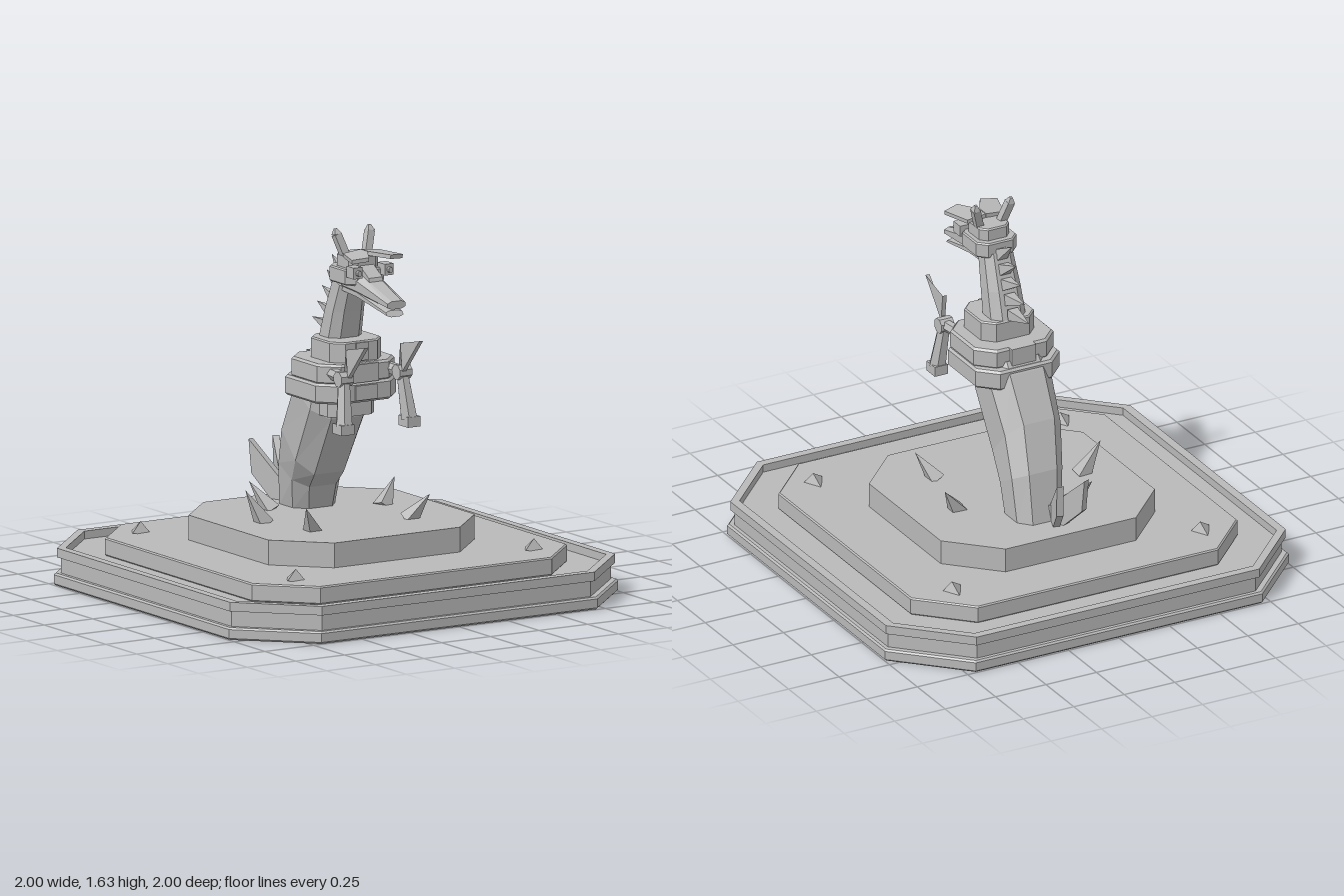
import * as THREE from 'three';

export function createModel() {
  const root = new THREE.Group();
  const stone = new THREE.MeshStandardMaterial({ color: 0xb9b9b9 });
  stone.name = 'stoneGrey';

  function add(name, geo, parent = root) {
    const g = geo.index ? geo.toNonIndexed() : geo;
    g.computeVertexNormals(); // crisp facets
    const m = new THREE.Mesh(g, stone);
    m.name = name;
    parent.add(m);
    return m;
  }
  const box = (name, w, h, d, x, y, z, parent) =>
    add(name, new THREE.BoxGeometry(w, h, d).translate(x, y, z), parent);

  // rectangle with cut corners, drawn with shape y = -z
  function outline(hx, z0, z1, cut, Type = THREE.Shape) {
    const s = new Type();
    const pts = [[hx, -z1 + cut], [hx, -z0 - cut], [hx - cut, -z0], [-hx + cut, -z0],
      [-hx, -z0 - cut], [-hx, -z1 + cut], [-hx + cut, -z1], [hx - cut, -z1]];
    s.setFromPoints(pts.map(p => new THREE.Vector2(...p)));
    return s;
  }
  // flat slab between two heights
  function slab(name, hx, z0, z1, y0, y1, cut, bevel = 0, hole = null) {
    const s = outline(hx, z0, z1, cut);
    if (hole) s.holes.push(hole);
    const g = new THREE.ExtrudeGeometry(s, {
      depth: y1 - y0 - 2 * bevel, bevelEnabled: bevel > 0, bevelThickness: bevel,
      bevelSize: bevel, bevelOffset: -bevel, bevelSegments: 1 });
    return add(name, g.rotateX(-Math.PI / 2).translate(0, y0 + bevel, 0));
  }
  // upright plate from a [z, y] outline, centred on x
  function plate(name, pts, x, thick, parent) {
    const s = new THREE.Shape(pts.map(p => new THREE.Vector2(...p)));
    const g = new THREE.ExtrudeGeometry(s, { depth: thick, bevelEnabled: false });
    return add(name, g.rotateY(-Math.PI / 2).translate(x + thick / 2, 0, 0), parent);
  }
  // eight-sided skin through rings { x, w, f: [z, y], b: [z, y] }
  function loft(name, rings) {
    const c8 = [[1, -0.5], [1, 0.5], [0.55, 1], [-0.55, 1], [-1, 0.5], [-1, -0.5], [-0.55, -1], [0.55, -1]];
    const loops = rings.map(({ x = 0, w, f, b }) => c8.map(([u, v]) => {
      const t = (1 + v) / 2;
      return [x + w * u, f[1] + (b[1] - f[1]) * t, f[0] + (b[0] - f[0]) * t];
    }));
    const p = [];
    for (let i = 0; i + 1 < loops.length; i++) {
      for (let k = 0; k < 8; k++) {
        const n = (k + 1) % 8, A = loops[i], B = loops[i + 1];
        p.push(...A[k], ...A[n], ...B[n], ...A[k], ...B[n], ...B[k]);
      }
    }
    const first = loops[0], last = loops[loops.length - 1];
    for (let k = 1; k < 7; k++) {
      p.push(...first[0], ...first[k + 1], ...first[k], ...last[0], ...last[k], ...last[k + 1]);
    }
    const g = new THREE.BufferGeometry();
    g.setAttribute('position', new THREE.Float32BufferAttribute(p, 3));
    return add(name, g);
  }
  // tapered bar between two points
  function bar(name, a, b, r0, r1, sides = 4, parent = root) {
    const A = new THREE.Vector3(...a), B = new THREE.Vector3(...b), d = B.clone().sub(A);
    const g = new THREE.CylinderGeometry(r1, r0, d.length(), sides).rotateY(Math.PI / sides);
    g.applyQuaternion(new THREE.Quaternion().setFromUnitVectors(new THREE.Vector3(0, 1, 0), d.normalize()));
    return add(name, g.translate(...A.add(B).multiplyScalar(0.5).toArray()), parent);
  }

  // stepped plinth
  slab('plinthFoot', 1, -1, 1, 0, 0.055, 0.29, 0.008);
  slab('plinthWaist', 0.975, -0.975, 0.975, 0.055, 0.13, 0.285);
  slab('plinthRim', 0.99, -0.99, 0.99, 0.125, 0.165, 0.29, 0,
    outline(0.95, -0.95, 0.95, 0.26, THREE.Path));
  slab('middleStep', 0.81, -0.81, 0.81, 0.13, 0.21, 0.215, 0.006);
  slab('topStep', 0.53, -0.565, 0.495, 0.21, 0.32, 0.207);

  // shards on the top step: base x, base z, tip x, y, z
  [[-0.33, -0.06, -0.415, 0.465, -0.08], [0.31, -0.11, 0.39, 0.43, -0.14],
    [-0.245, 0.2, -0.325, 0.435, 0.27], [0.245, 0.2, 0.315, 0.43, 0.265],
    [-0.155, -0.28, -0.215, 0.435, -0.365]].forEach(([x, z, tx, ty, tz]) =>
    bar('shard', [x, 0.31, z], [tx, ty, tz], 0.046, 0, 4));
  // low shards on the middle step
  [[-0.62, -0.62], [0.61, -0.62], [-0.61, 0.62], [0.62, 0.61]].forEach(([x, z]) =>
    bar('lowShard', [x, 0.205, z], [x + 0.01, 0.257, z], 0.06, 0, 3));

  // leaning body
  loft('body', [
    { x: 0.047, w: 0.108, f: [-0.2, 0.31], b: [-0.42, 0.31] },
    { x: 0.03, w: 0.125, f: [-0.155, 0.425], b: [-0.37, 0.54] },
    { x: 0.003, w: 0.138, f: [-0.06, 0.5], b: [-0.285, 0.74] },
    { w: 0.15, f: [0.09, 0.77], b: [-0.17, 0.93] },
    { w: 0.14, f: [0.1, 0.9], b: [-0.13, 0.98] }]);
  // crossed tail blades behind the body
  for (const s of [-1, 1]) {
    const tail = new THREE.Group();
    tail.name = 'tailBlade';
    plate('blade', [[0.04, -0.02], [0.07, 0.08], [0.03, 0.07], [-0.17, 0.25], [-0.155, 0.1], [-0.03, -0.02]], 0, 0.03, tail);
    tail.position.set(-s * 0.005, 0.32, -0.43);
    tail.rotation.y = s * 0.36;
    root.add(tail);
  }

  // torso armour
  slab('belly', 0.12, -0.08, 0.16, 0.79, 0.87, 0.04);
  slab('lowerArmour', 0.208, -0.165, 0.24, 0.865, 0.955, 0.08, 0.01);
  slab('upperArmour', 0.198, -0.125, 0.235, 0.95, 1.04, 0.075, 0.01);
  slab('collar', 0.132, -0.045, 0.205, 1.03, 1.13, 0.05, 0.006);
  box('chestPlate', 0.13, 0.08, 0.03, 0, 0.995, 0.23);
  box('stomachPlate', 0.11, 0.065, 0.03, 0, 0.91, 0.235);
  box('collarPlate', 0.06, 0.08, 0.02, 0, 1.085, 0.205);
  box('backPlate', 0.12, 0.1, 0.03, 0, 0.99, -0.13);

  // neck
  loft('neck', [
    { w: 0.086, f: [0.105, 1.11], b: [-0.045, 1.11] },
    { w: 0.08, f: [0.135, 1.25], b: [0, 1.25] },
    { w: 0.07, f: [0.165, 1.36], b: [0.06, 1.41] }]);
  // spines down the back of the neck
  for (let i = 0; i < 5; i++) {
    const z = 0.065 - i * 0.027, y = 1.4 - i * 0.061;
    bar('neckSpine', [0, y, z], [0, 1.475 - i * 0.076, -0.035 - i * 0.04], 0.036, 0, 4);
  }

  // head
  slab('skull', 0.1, 0.065, 0.27, 1.39, 1.46, 0.04, 0.006);
  slab('crown', 0.075, 0.095, 0.25, 1.45, 1.515, 0.03, 0.006);
  loft('upperJaw', [
    { w: 0.068, f: [0.15, 1.35], b: [0.15, 1.45] },
    { w: 0.066, f: [0.25, 1.345], b: [0.25, 1.44] },
    { w: 0.046, f: [0.49, 1.32], b: [0.49, 1.355] }]);
  loft('lowerJaw', [
    { w: 0.06, f: [0.14, 1.34], b: [0.14, 1.38] },
    { w: 0.055, f: [0.25, 1.33], b: [0.25, 1.37] },
    { w: 0.042, f: [0.485, 1.285], b: [0.465, 1.31] }]);
  plate('noseRidge', [[0.24, 1.48], [0.32, 1.43], [0.33, 1.4], [0.24, 1.4]], 0, 0.07);

  // paired parts
  for (const s of [-1, 1]) {
    bar('ear', [s * 0.05, 1.49, 0.165], [s * 0.085, 1.6, 0.138], 0.024, 0.024);
    bar('earTip', [s * 0.085, 1.6, 0.138], [s * 0.087, 1.625, 0.132], 0.024, 0.008);
    box('eye', 0.045, 0.05, 0.06, s * 0.08, 1.455, 0.275);
    bar('pupil', [s * 0.08, 1.455, 0.29], [s * 0.08, 1.455, 0.32], 0.014, 0.012, 8);
    // brow wing
    const wing = new THREE.Shape([[0, -0.2], [0, -0.26], [0.055, -0.355], [0.13, -0.335], [0.09, -0.2]]
      .map(([x, y]) => new THREE.Vector2(s * x, y)));
    const wg = new THREE.ExtrudeGeometry(wing, { depth: 0.018, bevelEnabled: false });
    const brow = add('browWing', wg.rotateX(-Math.PI / 2));
    brow.position.y = 1.518;
    brow.rotation.z = -s * 0.1;

    // arm
    const x = s * 0.15;
    bar('upperArm', [s * 0.14, 1, 0.18], [x, 0.995, 0.31], 0.028, 0.026, 6);
    bar('elbow', [x - 0.032, 0.995, 0.3], [x + 0.032, 0.995, 0.3], 0.035, 0.035, 8);
    bar('forearm', [x, 0.99, 0.3], [s * 0.167, 0.79, 0.33], 0.028, 0.04, 6);
    box('wrist', 0.065, 0.045, 0.075, s * 0.17, 0.78, 0.328);
    plate('armBlade', [[0.3, 1], [0.325, 1.125], [0.47, 1.16], [0.33, 1.0]].reverse()
      .map(([z, y]) => (y === 1.125 ? [0.325, 1.02] : [z, y])).concat([[0.315, 1.125]]), s * 0.14, 0.02);
  }
  return root;
}
